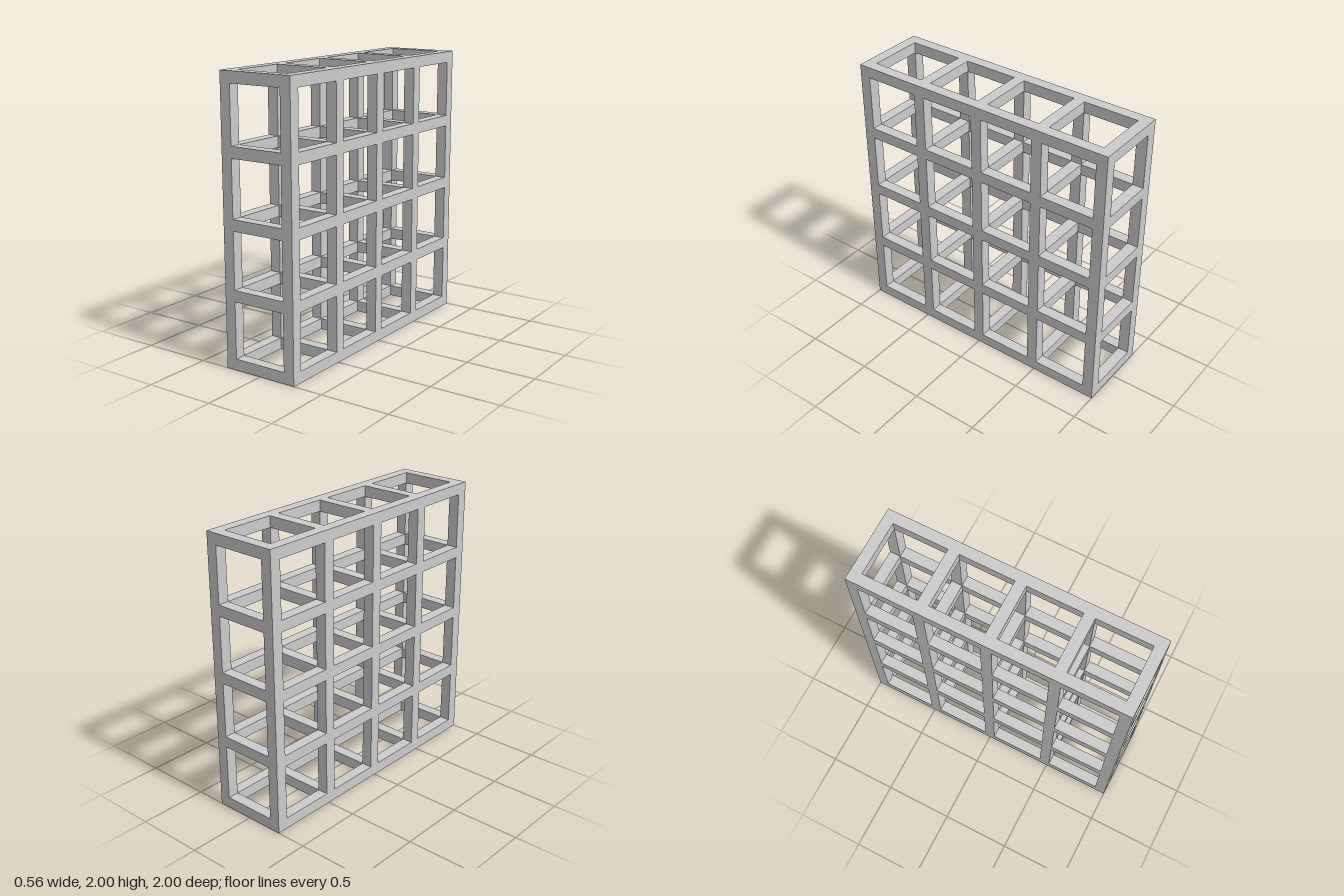
import * as THREE from 'three';

const CELLS = 4;          // openings per side
const PITCH = 0.48;       // spacing of bar centres
const BAR = 0.08;         // bar thickness
const SIZE = CELLS * PITCH + BAR;
const GAP = PITCH - BAR;  // clear opening

const material = new THREE.MeshStandardMaterial({ color: 0xcccccc, flatShading: true });

// Trace a square from its lower-left corner
function square(path, x, y, s) {
  path.moveTo(x, y);
  path.lineTo(x + s, y);
  path.lineTo(x + s, y + s);
  path.lineTo(x, y + s);
  path.closePath();
  return path;
}

// Square grid panel with a hole per cell, facing along x
function gridGeometry() {
  const shape = square(new THREE.Shape(), -SIZE / 2, 0, SIZE);
  for (let i = 0; i < CELLS; i++) {
    for (let j = 0; j < CELLS; j++) {
      shape.holes.push(square(new THREE.Path(), -SIZE / 2 + BAR + i * PITCH, BAR + j * PITCH, GAP));
    }
  }
  const geometry = new THREE.ExtrudeGeometry(shape, { depth: BAR, bevelEnabled: false });
  return geometry.translate(0, 0, -BAR / 2).rotateY(Math.PI / 2);
}

export function createModel() {
  const model = new THREE.Group();
  model.name = 'latticeFrame';

  // Two side grids
  const grid = gridGeometry();
  for (const side of [1, -1]) {
    const panel = new THREE.Mesh(grid, material);
    panel.name = side > 0 ? 'leftGrid' : 'rightGrid';
    panel.position.x = side * PITCH / 2;
    model.add(panel);
  }

  // Cross bars joining the grids at every node
  const crossBars = new THREE.Group();
  crossBars.name = 'crossBars';
  const barGeometry = new THREE.BoxGeometry(GAP, BAR, BAR);
  for (let row = 0; row <= CELLS; row++) {
    for (let col = 0; col <= CELLS; col++) {
      const bar = new THREE.Mesh(barGeometry, material);
      bar.name = 'crossBar';
      bar.position.set(0, BAR / 2 + row * PITCH, (col - CELLS / 2) * PITCH);
      crossBars.add(bar);
    }
  }
  model.add(crossBars);

  return model;
}
